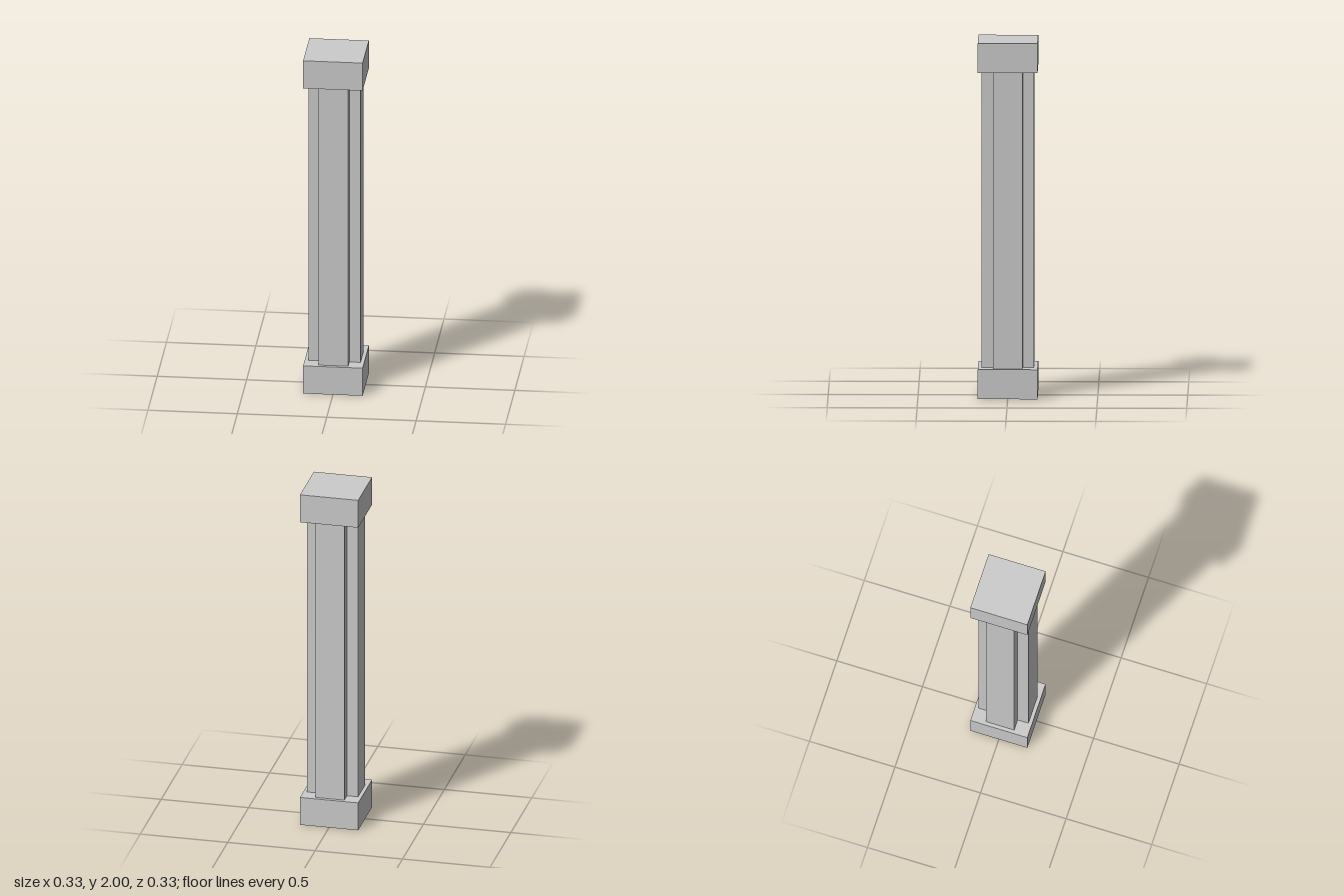
import * as THREE from 'three';

export function createModel() {
  const group = new THREE.Group();
  const material = new THREE.MeshStandardMaterial({ color: 0xcccccc, flatShading: true });
  const capSize = 0.333, capHeight = 0.166, height = 2;
  const arm = 0.146, core = 0.083; // half extents of the cross section

  const add = (name, geometry, y) => {
    const mesh = new THREE.Mesh(geometry, material);
    mesh.name = name;
    mesh.position.y = y;
    group.add(mesh);
  };

  // Square blocks at both ends
  const block = new THREE.BoxGeometry(capSize, capHeight, capSize);
  add('base', block, capHeight / 2);
  add('capital', block, height - capHeight / 2);

  // Cross-shaped shaft: one notched corner repeated around the axis
  const points = [];
  for (let i = 0; i < 4; i++) {
    for (const [x, y] of [[arm, core], [core, core], [core, arm]]) {
      points.push(new THREE.Vector2(x, y).rotateAround(new THREE.Vector2(), i * Math.PI / 2));
    }
  }
  const shaft = new THREE.ExtrudeGeometry(new THREE.Shape(points), {
    depth: height - 2 * capHeight, bevelEnabled: false,
  });
  shaft.rotateX(-Math.PI / 2);
  add('shaft', shaft, capHeight);

  return group;
}
